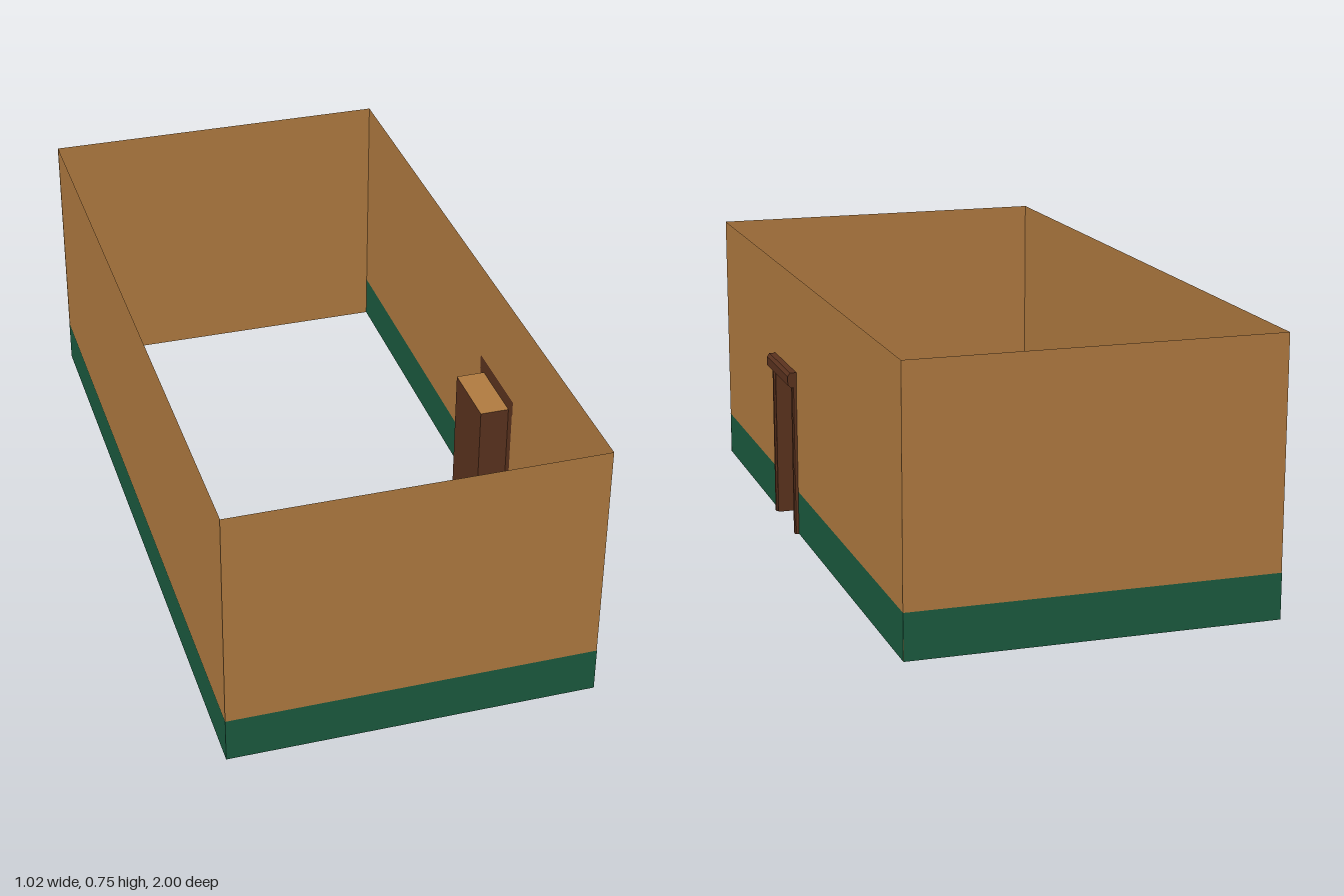
import * as THREE from 'three';

const paint = (color) => new THREE.MeshStandardMaterial({ color, side: THREE.DoubleSide, flatShading: true });

export function createModel() {
  const model = new THREE.Group();
  const plaster = paint(0xb07a40), skirt = paint(0x1b5a3f), wood = paint(0x5a321e);

  const X0 = -0.511, X1 = 0.486, H = 0.748, BAND = 0.125;
  const Z0 = 0.073, Z1 = 0.327;      // outer edges of the door frame
  const IN0 = 0.1, IN1 = 0.3;        // door recess
  const DEPTH = 0.405, DOOR_H = 0.432, FRAME_H = 0.473;

  const add = (geometry, material, name) => {
    const mesh = new THREE.Mesh(geometry, material);
    mesh.name = name;
    model.add(mesh);
    return mesh;
  };

  // Thin upright panel across x, at depth z; dir is the facing side
  const panelZ = (name, mat, z, x0, x1, y0, y1, dir) => {
    const m = add(new THREE.PlaneGeometry(x1 - x0, y1 - y0), mat, name);
    m.position.set((x0 + x1) / 2, (y0 + y1) / 2, z);
    if (dir < 0) m.rotation.y = Math.PI;
  };
  // Thin upright panel along z, at position x
  const panelX = (name, mat, x, z0, z1, y0, y1, dir) => {
    const m = add(new THREE.PlaneGeometry(z1 - z0, y1 - y0), mat, name);
    m.position.set(x, (y0 + y1) / 2, (z0 + z1) / 2);
    m.rotation.y = dir * Math.PI / 2;
  };

  // End walls and their painted bands
  for (const s of [1, -1]) {
    const end = s > 0 ? 'front' : 'back';
    panelZ(end + 'Wall', plaster, s * 0.998, X0, X1, 0, H, s);
    panelZ(end + 'Band', skirt, s, X0, X1, 0, BAND, s);
  }

  // Plain long wall
  panelX('rightWall', plaster, X0 + 0.001, -0.998, 0.998, 0, H, -1);
  panelX('rightBand', skirt, X0, -1, 1, 0, BAND, -1);

  // Long wall with the doorway
  for (const [a, b] of [[-0.998, Z0], [Z1, 0.998]]) {
    panelX('doorWall', plaster, X1, a, b, BAND, H, 1);
    panelX('doorWallBand', skirt, X1, a, b, 0, BAND, 1);
  }
  panelX('wallAboveDoor', plaster, X1, Z0, Z1, FRAME_H - 0.004, H, 1);

  // Recessed door with its two reveals and ceiling
  panelX('door', wood, DEPTH, IN0, IN1, 0, DOOR_H, 1);
  for (const [z, s] of [[IN0, 1], [IN1, -1]]) panelZ('doorReveal', wood, z, DEPTH, X1, 0, DOOR_H, s);
  const ceiling = add(new THREE.PlaneGeometry(X1 - DEPTH, IN1 - IN0), plaster, 'recessCeiling');
  ceiling.rotation.x = -Math.PI / 2;
  ceiling.position.set((X1 + DEPTH) / 2, DOOR_H, (IN0 + IN1) / 2);

  const outline = (pts) => new THREE.Shape(pts.map(([x, y]) => new THREE.Vector2(x, y)));

  // Moulded door posts, mirrored about the door centre
  for (const s of [1, -1]) {
    const w = IN0 - Z0;
    const profile = [[0, 0], [0.008, 0], [0.011, 0.004], [0.011, 0.017], [0.007, 0.021], [0.007, w], [0, w]];
    const zAt = (d) => (s > 0 ? Z1 - d : Z0 + d);
    const geo = new THREE.ExtrudeGeometry(
      outline(profile.map(([x, d]) => [X1 + x, -zAt(d)])), { depth: DOOR_H + 0.002, bevelEnabled: false });
    geo.rotateX(-Math.PI / 2);
    add(geo, wood, 'doorPost');
  }

  // Chamfered lintel
  const lintel = new THREE.ExtrudeGeometry(outline([
    [X1, 0.43], [0.503, 0.43], [0.511, 0.438], [0.511, 0.463], [0.504, FRAME_H], [X1, FRAME_H],
  ]), { depth: Z1 - Z0 + 0.006, bevelEnabled: false });
  lintel.translate(0, 0, Z0 - 0.003);
  add(lintel, wood, 'lintel');

  return model;
}
